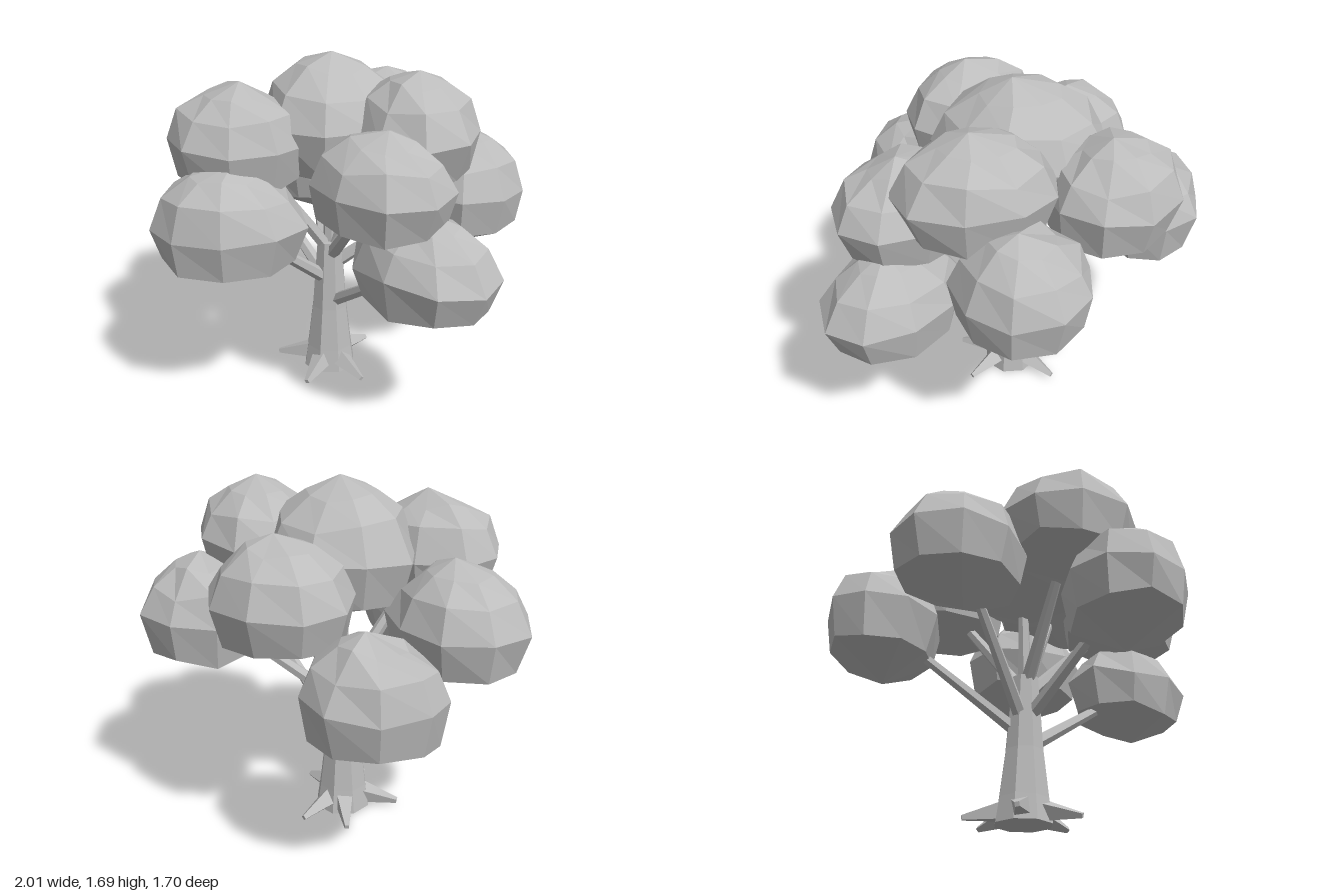
import * as THREE from 'three';

const grey = new THREE.MeshStandardMaterial({ color: 0xbcbcbc });
grey.name = 'plainGrey';

// Faceted mesh: unshared corners give one normal per face
function faceted(geometry, name) {
  const flat = geometry.toNonIndexed();
  flat.computeVertexNormals();
  const mesh = new THREE.Mesh(flat, grey);
  mesh.name = name;
  return mesh;
}

// Tapered straight limb between two points
function limb(name, from, to, r0, r1, sides) {
  const a = new THREE.Vector3(...from), b = new THREE.Vector3(...to);
  const dir = b.clone().sub(a);
  const mesh = faceted(new THREE.CylinderGeometry(r1, r0, dir.length(), sides), name);
  mesh.position.copy(a).add(b).multiplyScalar(0.5);
  mesh.quaternion.setFromUnitVectors(new THREE.Vector3(0, 1, 0), dir.normalize());
  return mesh;
}

// Repeatable noise in -1..1; equal positions move equally, so seams stay closed
function noise(x, y, z, seed) {
  const k = Math.round(x * 100) * 12.9898 + Math.round(y * 100) * 78.233 + Math.round(z * 100) * 37.719;
  const s = Math.sin(k + seed * 4.137) * 43758.5453;
  return (s - Math.floor(s)) * 2 - 1;
}

// Squashed, uneven leaf clump with a low, slightly off-centre tip at top and bottom
const clumpProfile = [[0, -1], [0.88, -0.58], [1.02, 0.04], [0.82, 0.5], [0.46, 0.8], [0, 1]]
  .map(([r, y]) => new THREE.Vector2(r, y));

function leafClump(center, radii, yaw, seed) {
  const geometry = new THREE.LatheGeometry(clumpProfile, 9, seed * 0.7);
  const p = geometry.attributes.position;
  for (let i = 0; i < p.count; i++) {
    const x = p.getX(i), y = p.getY(i), z = p.getZ(i);
    if (Math.hypot(x, z) < 0.01) {
      p.setX(i, 0.1);
    } else {
      const out = 1 + 0.04 * noise(x, y, z, seed);
      p.setXYZ(i, x * out, y + 0.07 * noise(x, y, z, seed + 31), z * out);
    }
  }
  geometry.scale(...radii);
  geometry.rotateY(yaw * Math.PI / 180);
  const mesh = faceted(geometry, 'leafClump');
  mesh.position.set(...center);
  return mesh;
}

// Clump centre, radii, turn in degrees, and the height where its branch leaves the trunk
const clumps = [
  { c: [-0.64, 0.92, -0.49], r: [0.32, 0.29, 0.26], yaw: 25, y: 0.42 },
  { c: [-0.18, 1.25, -0.56], r: [0.34, 0.28, 0.30], yaw: 0, y: 0.64 },
  { c: [0.40, 1.04, -0.51], r: [0.305, 0.29, 0.31], yaw: 0, y: 0.57 },
  { c: [-0.09, 1.36, -0.10], r: [0.41, 0.33, 0.35], yaw: -40, y: 0.68 },
  { c: [0.345, 1.37, -0.22], r: [0.36, 0.28, 0.29], yaw: -35, y: 0.66 },
  { c: [0.45, 1.20, 0.12], r: [0.35, 0.265, 0.29], yaw: 0, y: 0.62 },
  { c: [0.635, 0.84, 0.03], r: [0.365, 0.27, 0.27], yaw: 0, y: 0.36 },
  { c: [-0.67, 1.12, 0.03], r: [0.33, 0.28, 0.29], yaw: 0, y: 0.47 },
  { c: [-0.26, 1.31, 0.35], r: [0.35, 0.28, 0.30], yaw: 0, y: 0.66 },
  { c: [-0.11, 0.98, 0.54], r: [0.355, 0.29, 0.29], yaw: 45, y: 0.49 },
];

export function createModel() {
  const tree = new THREE.Group();
  tree.name = 'tree';
  const tx = -0.08, tz = -0.08;

  // Trunk: eight-sided, flaring at the foot, closed at both ends
  const profile = [[0, 0], [0.14, 0], [0.122, 0.12], [0.094, 0.35], [0.066, 0.72], [0, 0.72]]
    .map(([r, y]) => new THREE.Vector2(r, y));
  const trunk = faceted(new THREE.LatheGeometry(profile, 8, Math.PI / 8), 'trunk');
  trunk.position.set(tx, 0, tz);
  tree.add(trunk);

  // Roots: short spikes spread around the foot
  for (const degrees of [8, 69, 145, 222, 270]) {
    const t = degrees * Math.PI / 180, dx = Math.cos(t), dz = Math.sin(t);
    tree.add(limb('root', [tx + dx * 0.08, 0.064, tz + dz * 0.08],
      [tx + dx * 0.28, 0.024, tz + dz * 0.28], 0.06, 0.015, 4));
  }

  // Crown: each clump sits on its own branch
  clumps.forEach(({ c, r, yaw, y }, i) => {
    tree.add(leafClump(c, r, yaw, i + 1));
    tree.add(limb('branch', [tx, y, tz], c, 0.036, 0.02, 6));
  });
  return tree;
}
